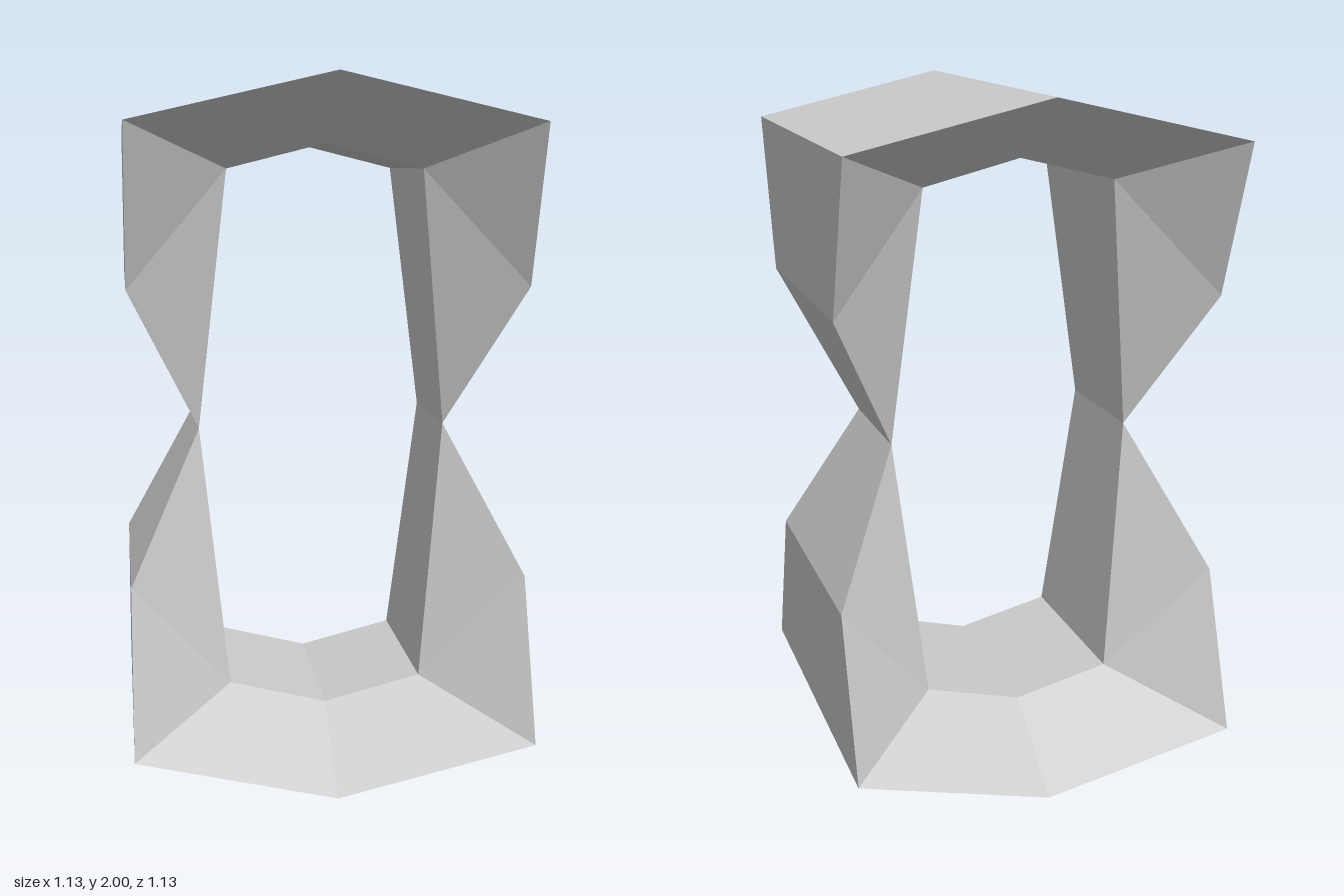
import * as THREE from 'three';

// Half sections on the front left upper quarter: outer corner and inner corner [x, y above the waist, z]
const ridge = { outer: [0, 1, 0.565], inner: [0, 0.815, 0.28] };
const eave = { outer: [0.565, 0.87, 0.565], inner: [0.28, 0.745, 0.28] };
const shoulder = { outer: [0.565, 0.418, 0.405], inner: [0.28, 0.745, 0.28] };
const waist = { outer: [0.36, 0, 0.2], inner: [0.36, 0, 0.2] };

// Full four-cornered section, mirrored sideways (sx) and up or down (sy)
function section({ outer, inner }, sx, sy) {
  const corner = ([x, y, z], sz) => new THREE.Vector3(sx * x, 1 + sy * y, sz * z);
  return [corner(outer, 1), corner(inner, 1), corner(inner, -1), corner(outer, -1)];
}

// Flat-faced skin through sections that run clockwise as seen from the front
function loft(name, sections) {
  const points = [];
  const triangle = (a, b, c) => {
    if (new THREE.Triangle(a, b, c).getArea() > 1e-6) points.push(a, b, c);
  };
  for (let s = 0; s < sections.length - 1; s++) {
    for (let k = 0; k < 4; k++) {
      const n = (k + 1) % 4;
      const a = sections[s][k], b = sections[s][n];
      const c = sections[s + 1][n], d = sections[s + 1][k];
      triangle(a, b, c);
      triangle(a, c, d);
    }
  }
  const geometry = new THREE.BufferGeometry().setFromPoints(points);
  geometry.computeVertexNormals();
  const material = new THREE.MeshStandardMaterial({ color: 0xcccccc, flatShading: true });
  const mesh = new THREE.Mesh(geometry, material);
  mesh.name = name;
  return mesh;
}

export function createModel() {
  const group = new THREE.Group();
  group.name = 'pinchedFrame';

  // Gabled roof and its mirrored base
  group.add(loft('roof', [section(eave, -1, 1), section(ridge, 1, 1), section(eave, 1, 1)]));
  group.add(loft('base', [section(eave, 1, -1), section(ridge, 1, -1), section(eave, -1, -1)]));

  // Side walls, pinched to an edge at the waist
  for (const [side, sx] of [['left', 1], ['right', -1]]) {
    const upper = [eave, shoulder, waist].map((p) => section(p, sx, sx));
    const lower = [waist, shoulder, eave].map((p) => section(p, sx, -sx));
    const names = sx > 0 ? ['UpperWall', 'LowerWall'] : ['LowerWall', 'UpperWall'];
    group.add(loft(side + names[0], upper), loft(side + names[1], lower));
  }
  return group;
}
